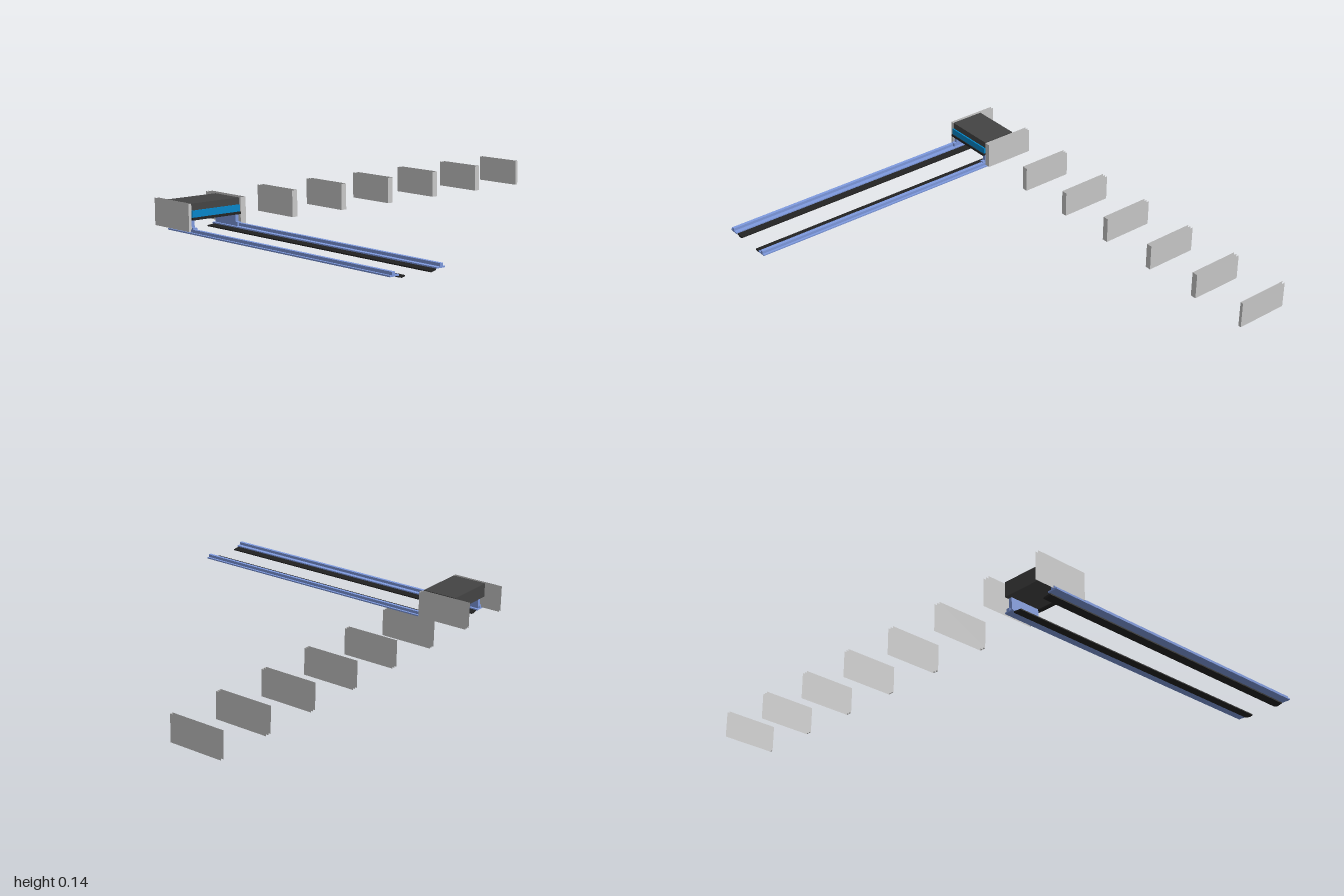
import * as THREE from 'three';

const mat = (color, side = THREE.FrontSide) =>
  new THREE.MeshStandardMaterial({ color, side, flatShading: true });

const grey = mat(0xcccccc, THREE.DoubleSide);
const dark = mat(0x444444);
const black = mat(0x222222);
const cyan = mat(0x0088cc);
const blue = mat(0x7f9be0, THREE.DoubleSide);

const CENTRE = -0.86; // middle of the machine
const HEIGHT = 0.12, DEPTH = 0.25, FRONT = -0.51; // panel size

function add(parent, name, geometry, material, x = 0, y = 0, z = 0) {
  const mesh = new THREE.Mesh(geometry, material);
  mesh.name = name;
  mesh.position.set(x, y, z);
  parent.add(mesh);
  return mesh;
}

function box(parent, name, material, x0, x1, y0, y1, z0, z1) {
  return add(parent, name, new THREE.BoxGeometry(x1 - x0, y1 - y0, z1 - z0), material,
    (x0 + x1) / 2, (y0 + y1) / 2, (z0 + z1) / 2);
}

// Extrudes an (x, y) outline from z0 to z1
function extrude(parent, name, material, points, z0, z1) {
  const shape = new THREE.Shape(points.map(p => new THREE.Vector2(...p)));
  const geometry = new THREE.ExtrudeGeometry(shape, { depth: z1 - z0, bevelEnabled: false });
  return add(parent, name, geometry, material, 0, 0, z0);
}

// Open-backed divider: parallel thin sheets joined by a front strip
function divider(x0, x1, sheets) {
  const group = new THREE.Group();
  group.name = 'divider';
  const y = 0.02 + HEIGHT / 2;
  for (let i = 0; i < sheets; i++) {
    const x = x0 + (x1 - x0) * i / (sheets - 1);
    add(group, 'dividerSheet', new THREE.PlaneGeometry(DEPTH, HEIGHT), grey, x, y, FRONT - DEPTH / 2)
      .rotation.y = Math.PI / 2;
  }
  add(group, 'dividerFront', new THREE.PlaneGeometry(x1 - x0, HEIGHT), grey, (x0 + x1) / 2, y, FRONT);
  return group;
}

// One floor rail with its bracket; s = -1 for the right side, +1 for the left
function rail(s) {
  const group = new THREE.Group();
  group.name = s < 0 ? 'rightRail' : 'leftRail';
  const span = (a, b) => [Math.min(s * a, s * b), Math.max(s * a, s * b)];

  // stepped blue guide
  const profile = [[0.095, 0.012], [0.14, 0.012], [0.14, 0.018], [0.13, 0.018], [0.13, 0.031],
    [0.115, 0.031], [0.115, 0.018], [0.095, 0.018]];
  extrude(group, 'guideRail', blue, profile.map(([x, y]) => [s * x, y]), -0.665, 0.757);

  // dark running strip, thin with a chamfered inner edge
  const strip = [[0.06, 0.004], [0.075, 0], [0.1, 0.006], [0.1, 0.013], [0.06, 0.009]];
  extrude(group, 'runningStrip', black, strip.map(([x, y]) => [s * x, y]), -0.655, 0.75);

  // upright bracket carrying the cabinet, with a small foot in front
  box(group, 'bracket', blue, ...span(0.107, 0.123), 0.018, 0.1, -0.66, -0.515);
  box(group, 'bracketFoot', blue, ...span(0.105, 0.125), 0.018, 0.036, -0.515, -0.5);

  group.position.x = CENTRE;
  return group;
}

function cabinet() {
  const group = new THREE.Group();
  group.name = 'cabinet';
  const w = 0.125;
  box(group, 'cabinetBody', dark, -w, w, 0.075, 0.14, -0.68, -0.516);
  box(group, 'upperFascia', dark, -w, w, 0.11, 0.14, -0.516, -0.512);
  box(group, 'colourBand', cyan, -w, w, 0.08, 0.11, -0.516, -0.505);
  box(group, 'lowerLip', black, -w, w, 0.069, 0.08, -0.516, -0.5);
  group.position.x = CENTRE;
  return group;
}

export function createModel() {
  const model = new THREE.Group();
  model.name = 'railMachine';

  model.add(rail(-1), rail(1), cabinet());

  // row of eight evenly spaced dividers, the end ones half as wide
  const count = 8, half = 0.014;
  for (let i = 0; i < count; i++) {
    const x = -1 + i * 2 / (count - 1);
    const x0 = Math.max(x - half, -1), x1 = Math.min(x + half, 1);
    model.add(divider(x0, x1, i === 0 || i === count - 1 ? 2 : 3));
  }
  return model;
}
